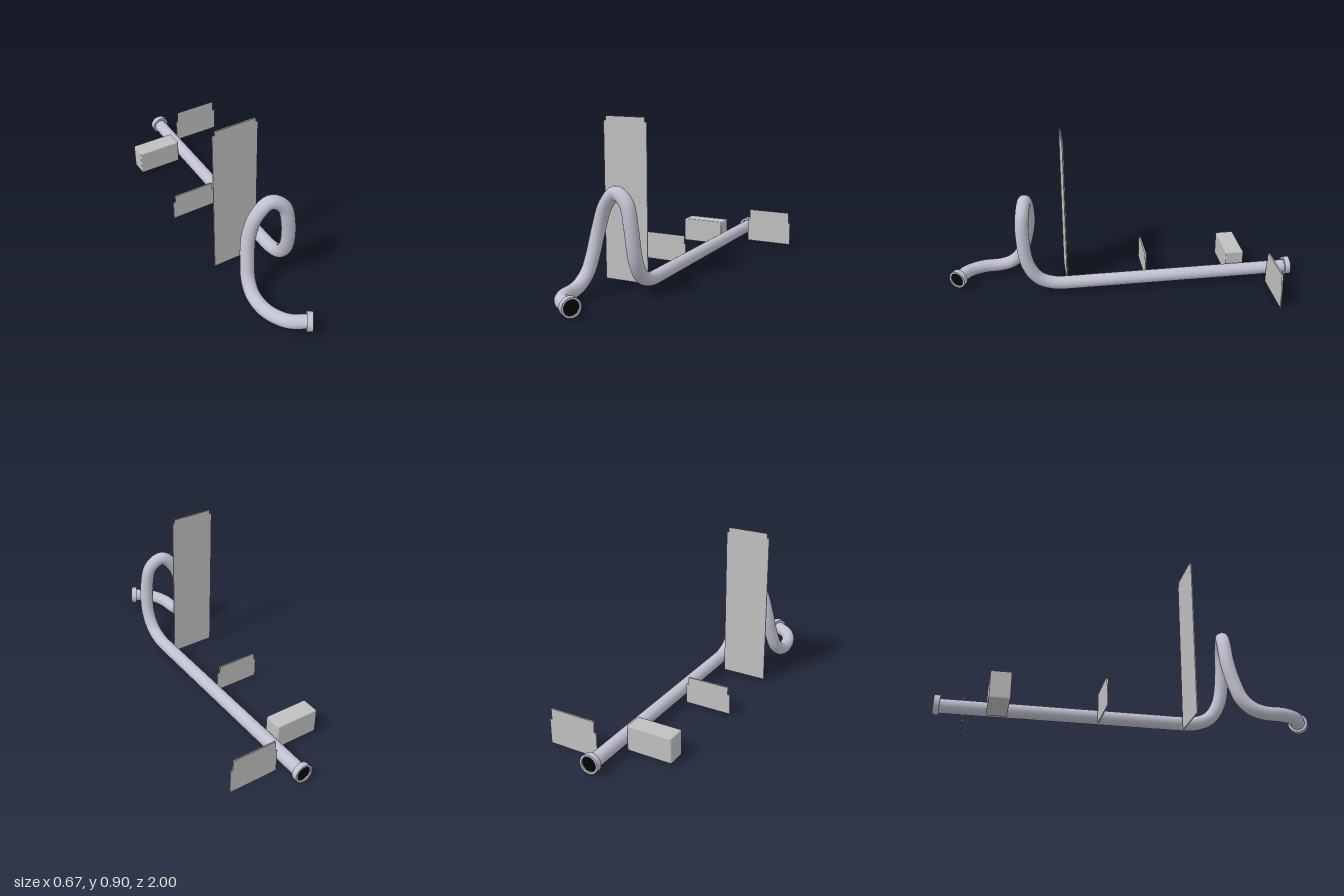
import * as THREE from 'three';
import { RoundedBoxGeometry } from 'three/addons/geometries/RoundedBoxGeometry.js';

export function createModel() {
  const model = new THREE.Group();
  const pipeMetal = new THREE.MeshStandardMaterial({ color: 0xc0c0d0 });
  const panelGrey = new THREE.MeshStandardMaterial({ color: 0xc0c0c0, side: THREE.DoubleSide });
  const boreBlack = new THREE.MeshStandardMaterial({ color: 0x050505 });
  pipeMetal.name = 'pipeMetal';
  panelGrey.name = 'panelGrey';
  boreBlack.name = 'boreBlack';

  const add = (parent, name, geometry, material, x = 0, y = 0, z = 0) => {
    const mesh = new THREE.Mesh(geometry, material);
    mesh.name = name;
    mesh.position.set(x, y, z);
    parent.add(mesh);
    return mesh;
  };

  // Pipe: long straight run, upright loop, then a hook to the front mouth
  const path = new THREE.CatmullRomCurve3([
    [-0.012, 0.062, -0.98], [-0.012, 0.062, -0.3], [-0.012, 0.062, 0.2], [-0.012, 0.062, 0.3],
    [-0.012, 0.067, 0.39], [-0.012, 0.105, 0.48], [-0.012, 0.2, 0.54], [-0.024, 0.38, 0.563],
    [-0.052, 0.495, 0.557], [-0.122, 0.541, 0.54], [-0.195, 0.47, 0.524], [-0.24, 0.34, 0.522],
    [-0.262, 0.2, 0.55], [-0.275, 0.12, 0.58], [-0.285, 0.069, 0.635], [-0.286, 0.052, 0.7],
    [-0.275, 0.055, 0.79], [-0.225, 0.06, 0.885], [-0.14, 0.064, 0.943],
  ].map((p) => new THREE.Vector3(...p)));
  add(model, 'pipe', new THREE.TubeGeometry(path, 180, 0.038, 24), pipeMetal);

  // End collars with a dark bore, facing along +y before being turned outward
  const collarProfile = [[0.037, -0.016], [0.052, -0.016], [0.052, 0.016], [0.041, 0.016], [0.041, 0.006]];
  const collar = (name, position, direction) => {
    const group = new THREE.Group();
    group.name = name;
    // Each wall gets its own vertices so its edges stay sharp
    for (let i = 0; i < collarProfile.length - 1; i++) {
      const wall = [collarProfile[i], collarProfile[i + 1]].map((p) => new THREE.Vector2(...p));
      add(group, 'collarWall', new THREE.LatheGeometry(wall, 32), pipeMetal);
    }
    add(group, 'bore', new THREE.CircleGeometry(0.042, 32).rotateX(-Math.PI / 2), boreBlack, 0, 0.008, 0);
    group.position.set(...position);
    group.quaternion.setFromUnitVectors(new THREE.Vector3(0, 1, 0), new THREE.Vector3(...direction).normalize());
    model.add(group);
  };
  collar('backCollar', [-0.011, 0.067, -0.981], [0, 0.05, -1]);
  collar('frontCollar', [-0.137, 0.064, 0.945], [0.84, 0, 0.54]);

  // Upright panels: a thin slab with a narrower, taller sheet on both faces
  const panel = (name, z, slab, sheet) => {
    const group = new THREE.Group();
    group.name = name;
    const [x0, x1, y0, y1] = slab;
    add(group, 'slab', new THREE.BoxGeometry(x1 - x0, y1 - y0, 0.006), panelGrey, (x0 + x1) / 2, (y0 + y1) / 2, z);
    const [u0, u1, v0, v1] = sheet;
    for (const side of [1, -1]) {
      const geometry = new THREE.PlaneGeometry(u1 - u0, v1 - v0);
      if (side < 0) geometry.rotateY(Math.PI);
      add(group, 'sheet', geometry, panelGrey, (u0 + u1) / 2, (v0 + v1) / 2, z + side * 0.004);
    }
    model.add(group);
  };
  panel('tallPanel', 0.316, [-0.325, -0.065, 0.01, 0.88], [-0.312, -0.077, 0.025, 0.905]);
  panel('lowPanel', -0.148, [-0.335, -0.067, 0.01, 0.125], [-0.322, -0.08, 0.02, 0.17]);
  panel('backPanel', -0.845, [0.047, 0.333, 0.003, 0.143], [0.06, 0.32, 0.016, 0.207]);

  // Solid block beside the straight run
  add(model, 'block', new RoundedBoxGeometry(0.258, 0.144, 0.106, 1, 0.007), panelGrey, -0.182, 0.084, -0.677);

  return model;
}
